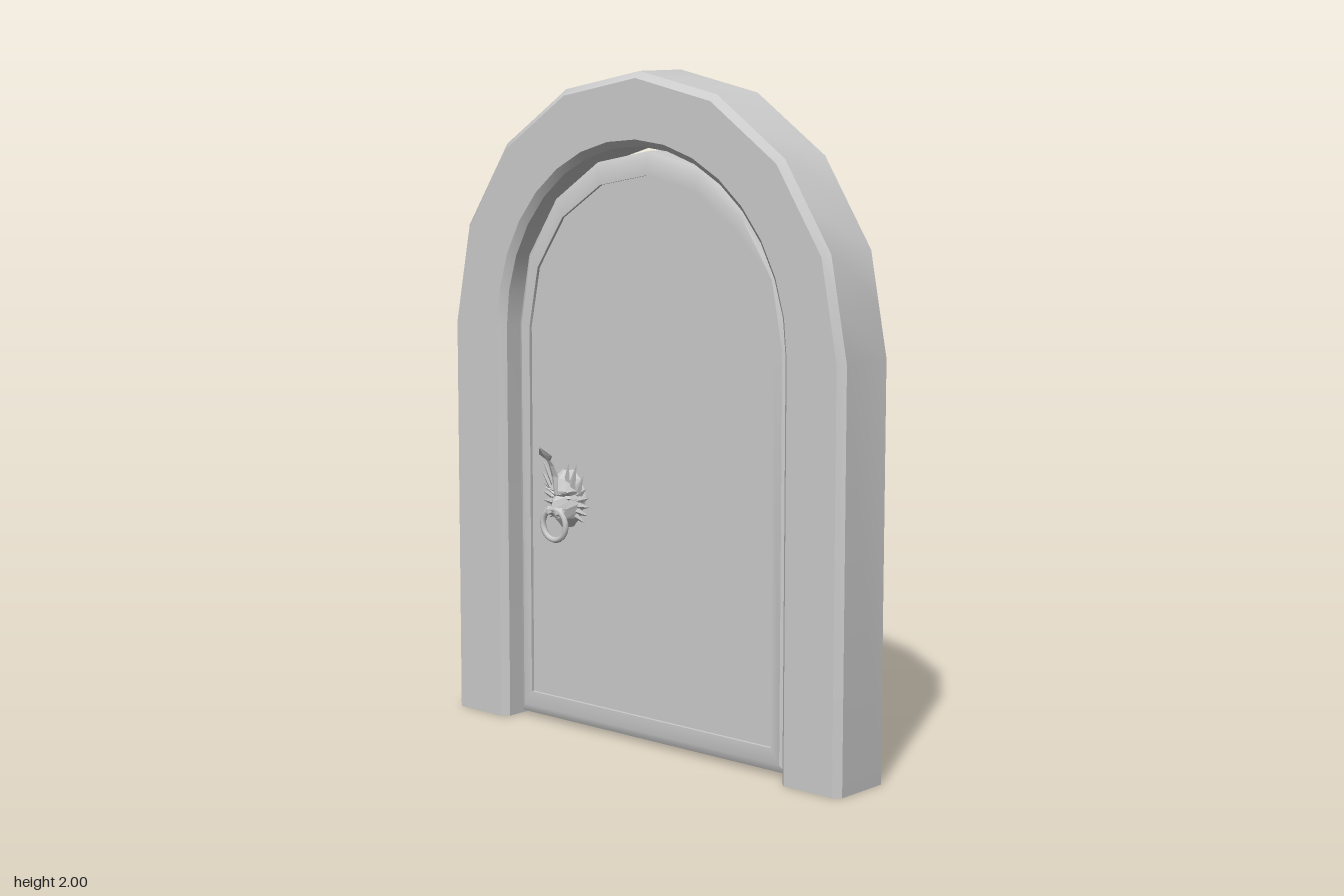
import * as THREE from 'three';
import { toCreasedNormals } from 'three/addons/utils/BufferGeometryUtils.js';

const grey = new THREE.MeshStandardMaterial({ color: 0xcccccc, side: THREE.DoubleSide });
const faceted = new THREE.MeshStandardMaterial({ color: 0xcccccc, side: THREE.DoubleSide, flatShading: true });

function mesh(name, geometry, material = grey) {
  const m = new THREE.Mesh(geometry, material);
  m.name = name;
  return m;
}

// Skin a list of equally long rows of [x, y, z] points
function loft(rows, closed) {
  const n = rows[0].length, index = [];
  for (let r = 0; r < rows.length - 1; r++) {
    for (let i = 0; i < (closed ? n : n - 1); i++) {
      const a = r * n + i, b = r * n + (i + 1) % n;
      index.push(a, b, b + n, a, b + n, a + n);
    }
  }
  const g = new THREE.BufferGeometry();
  g.setAttribute('position', new THREE.Float32BufferAttribute(rows.flat(2), 3));
  g.setIndex(index);
  return toCreasedNormals(g, 0.6);
}

// Arched outline from bottom right over the top to bottom left
function arch(halfW, bottom, spring, top, segments) {
  const pts = [[halfW, bottom]];
  for (let i = 0; i <= segments; i++) {
    const a = Math.PI * i / segments;
    pts.push([halfW * Math.cos(a), spring + (top - spring) * Math.sin(a)]);
  }
  pts.push([-halfW, bottom]);
  return pts;
}

const atZ = (pts, z) => pts.map(([x, y]) => [x, y, z]);

// Split each arc segment in two, keeping the coarse outline
function halved(pts) {
  const out = [pts[0]];
  for (let i = 1; i < pts.length - 1; i++) {
    out.push(pts[i]);
    if (i < pts.length - 2) out.push([(pts[i][0] + pts[i + 1][0]) / 2, (pts[i][1] + pts[i + 1][1]) / 2]);
  }
  out.push(pts[pts.length - 1]);
  return out;
}

// Chamfered surround, coarse outside and finer inside, open under the feet
function makeFrame() {
  const outer = halved(arch(0.76, 0, 1.22, 2.0, 8));
  const outerFlat = halved(arch(0.74, 0, 1.22, 1.98, 8));
  const inner = arch(0.545, 0, 1.22, 1.785, 16);
  const innerFlat = arch(0.565, 0, 1.22, 1.805, 16);
  const rows = [
    atZ(outer, -0.12), atZ(outer, 0.058), atZ(outerFlat, 0.078), atZ(innerFlat, 0.078),
    atZ(inner, 0.058), atZ(inner, -0.12), atZ(innerFlat, -0.14), atZ(outerFlat, -0.14),
  ];
  rows.push(rows[0]);
  return mesh('archedFrame', loft(rows, false));
}

// Door leaf with a chamfered rim and a shallow sunken panel
function makeDoor() {
  const door = new THREE.Group();
  door.name = 'door';
  const edge = arch(0.527, 0.015, 1.23, 1.77, 8);
  const rim = arch(0.51, 0.04, 1.23, 1.75, 8);
  const panel = arch(0.477, 0.085, 1.22, 1.7, 8);
  door.add(mesh('doorRim', loft([
    atZ(edge, -0.1), atZ(edge, 0.018), atZ(rim, 0.03), atZ(panel, 0.03), atZ(panel, 0.02),
  ], true)));
  const cap = pts => new THREE.ShapeGeometry(new THREE.Shape(pts.map(p => new THREE.Vector2(...p))));
  door.add(mesh('doorPanel', cap(panel).translate(0, 0, 0.02)));
  door.add(mesh('doorBack', cap(edge).rotateY(Math.PI).translate(0, 0, -0.1)));
  return door;
}

// Flattened four-sided spike pointing outward at an angle from straight up
function spike(name, x, y, z, angle, length, width) {
  const g = new THREE.ConeGeometry(width, length, 4).scale(1, 1, 0.5).translate(0, length / 2, 0);
  const m = mesh(name, g, faceted);
  m.rotation.set(0.2, 0, -angle);
  m.position.set(x, y, z);
  return m;
}

// Animal-head knocker, modelled around the middle of its face
function makeKnocker() {
  const k = new THREE.Group();
  k.name = 'knocker';

  // Face mask: height, half width, then depth at edge, cheek and middle
  const mask = [
    [-0.075, 0.02, 0, 0.02, 0.03],
    [-0.045, 0.045, 0, 0.04, 0.055],
    [-0.015, 0.06, 0, 0.045, 0.078],
    [0.01, 0.07, 0, 0.035, 0.07],
    [0.025, 0.072, 0, 0.03, 0.055],
    [0.04, 0.068, 0, 0.048, 0.058],
    [0.075, 0.05, 0, 0.035, 0.045],
    [0.1, 0.02, 0, 0.015, 0.02],
  ];
  k.add(mesh('face', loft(mask.map(([y, w, e, c, m]) => [
    [-w, y, e], [-w / 2, y, c], [0, y, m], [w / 2, y, c], [w, y, e],
  ]), false), faceted));

  for (const s of [-1, 1]) {
    // Mane tufts down each side
    for (let i = 0; i < 6; i++) {
      const a = 0.95 + i * 0.3;
      k.add(spike('maneTuft', s * 0.048 * Math.sin(a), 0.01 + 0.055 * Math.cos(a), 0.012, s * (a * 0.85), 0.05, 0.017));
    }
    // Crown points
    k.add(spike('crownPoint', s * 0.02, 0.06, 0.03, s * 0.3, 0.075, 0.014));
    k.add(spike('crownPoint', s * 0.036, 0.05, 0.025, s * 0.42, 0.09, 0.015));
    k.add(spike('crownPoint', s * 0.055, 0.04, 0.018, s * 0.55, 0.065, 0.014));
    // Brow, eye and muzzle
    const brow = mesh('brow', new THREE.ConeGeometry(0.011, 0.055, 4), faceted);
    brow.rotation.z = -s * 1.25;
    brow.position.set(s * 0.034, 0.036, 0.043);
    const eye = mesh('eye', new THREE.OctahedronGeometry(0.01), faceted);
    eye.scale.set(1.4, 0.6, 0.8);
    eye.position.set(s * 0.032, 0.018, 0.036);
    const muzzle = mesh('muzzle', new THREE.IcosahedronGeometry(0.019), faceted);
    muzzle.scale.set(1.2, 0.8, 0.9);
    muzzle.position.set(s * 0.017, -0.022, 0.06);
    k.add(brow, eye, muzzle);
  }

  // Crest curving forward into a diamond tip: height, depth, half width
  const crest = [
    [0.03, 0.055, 0.008], [0.085, 0.06, 0.014], [0.12, 0.075, 0.01],
    [0.138, 0.088, 0.008], [0.155, 0.1, 0.028], [0.18, 0.12, 0.001],
  ];
  k.add(mesh('crest', loft(crest.map(([y, z, w]) => [
    [-w, y, z], [0, y, z + 0.006], [w, y, z], [0, y, z - 0.006],
  ]), true), faceted));

  // Hanging ring
  const ring = mesh('knockerRing', new THREE.TorusGeometry(0.047, 0.009, 8, 24));
  ring.position.set(0, -0.062, 0.064);
  k.add(ring);

  k.position.set(-0.325, 0.7, 0.02);
  return k;
}

export function createModel() {
  const model = new THREE.Group();
  model.name = 'archedDoorway';
  model.add(makeFrame(), makeDoor(), makeKnocker());
  // Centre the depth
  const box = new THREE.Box3().setFromObject(model);
  model.position.z = -(box.min.z + box.max.z) / 2;
  return model;
}
